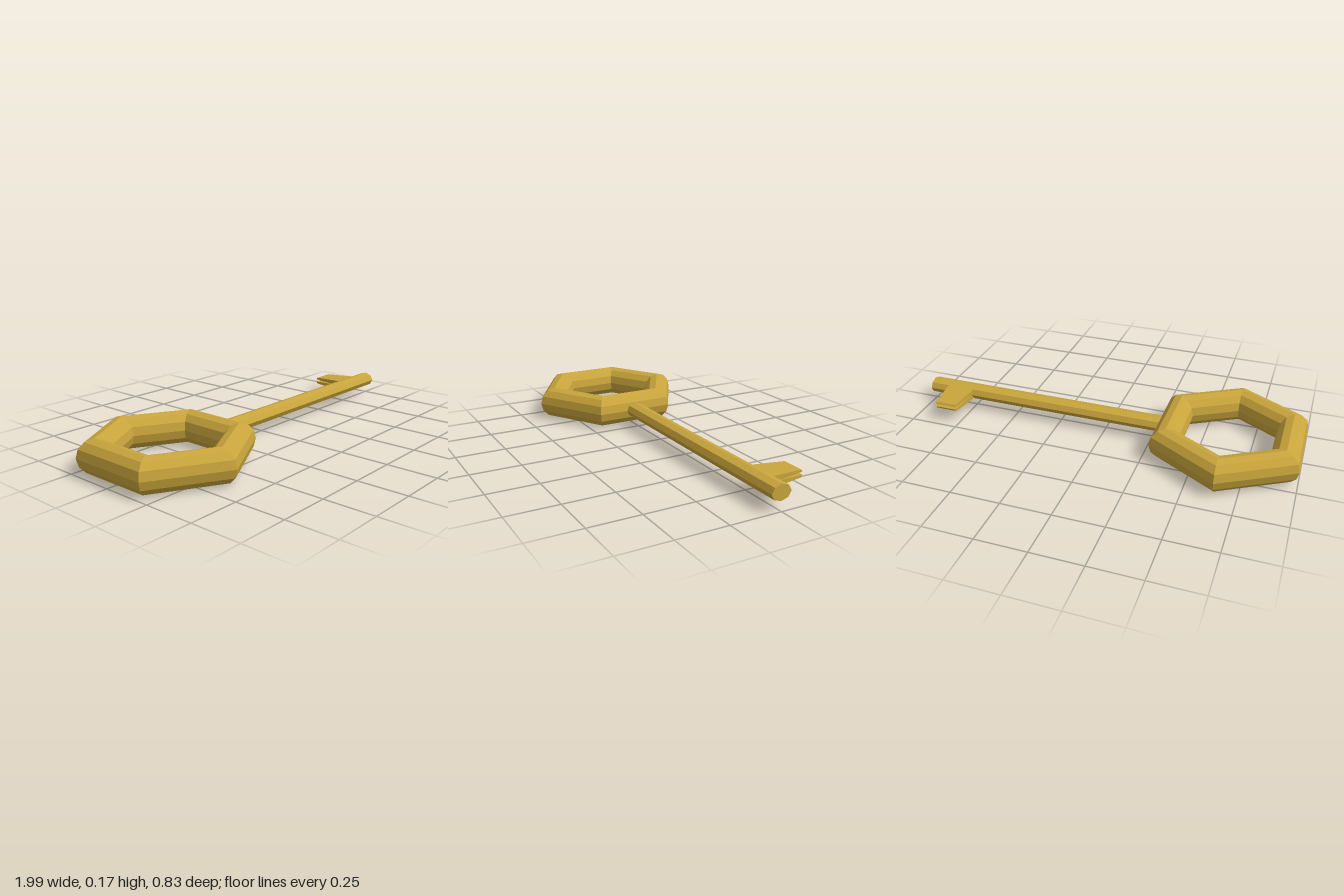
import * as THREE from 'three';

const MID = 0.083; // height of the key's centre plane

export function createModel() {
  const key = new THREE.Group();
  key.name = 'key';
  const brass = new THREE.MeshStandardMaterial({ color: 0xc9a53c, flatShading: true });

  const add = (name, geometry, x) => {
    const mesh = new THREE.Mesh(geometry, brass);
    mesh.name = name;
    mesh.position.set(x, MID, 0);
    key.add(mesh);
  };

  // Hexagonal ring handle lying flat, corners pointing to front and back
  const ring = new THREE.TorusGeometry(0.33, 0.083, 12, 6);
  ring.rotateZ(Math.PI / 6).rotateX(Math.PI / 2);
  add('ringHandle', ring, -0.642);

  // Eight-sided shaft, slightly flattened, running from inside the ring to the tip
  const start = -0.33, end = 0.995;
  const shaft = new THREE.CylinderGeometry(1, 1, end - start, 8);
  shaft.rotateZ(Math.PI / 2).scale(1, 0.038, 0.05);
  add('shaft', shaft, (start + end) / 2);

  // Bit: forked cross-section with a V groove, narrowing towards its outer edge
  const section = new THREE.Shape([
    [0.01, -0.028], [0.038, -0.027], [0.198, -0.018], [0.205, -0.007],
    [0.062, 0],
    [0.205, 0.007], [0.198, 0.018], [0.038, 0.027], [0.01, 0.028],
  ].map(([u, v]) => new THREE.Vector2(u, v)));
  const bit = new THREE.ExtrudeGeometry(section, { depth: 1, bevelEnabled: false });
  bit.translate(0, 0, -0.5);
  const p = bit.attributes.position;
  for (let i = 0; i < p.count; i++) {
    const t = (p.getX(i) - 0.045) / 0.16;
    p.setZ(i, p.getZ(i) * THREE.MathUtils.lerp(0.146, 0.112, t));
  }
  bit.rotateY(Math.PI / 2);
  bit.computeVertexNormals();
  add('bit', bit, 0.821);

  return key;
}
